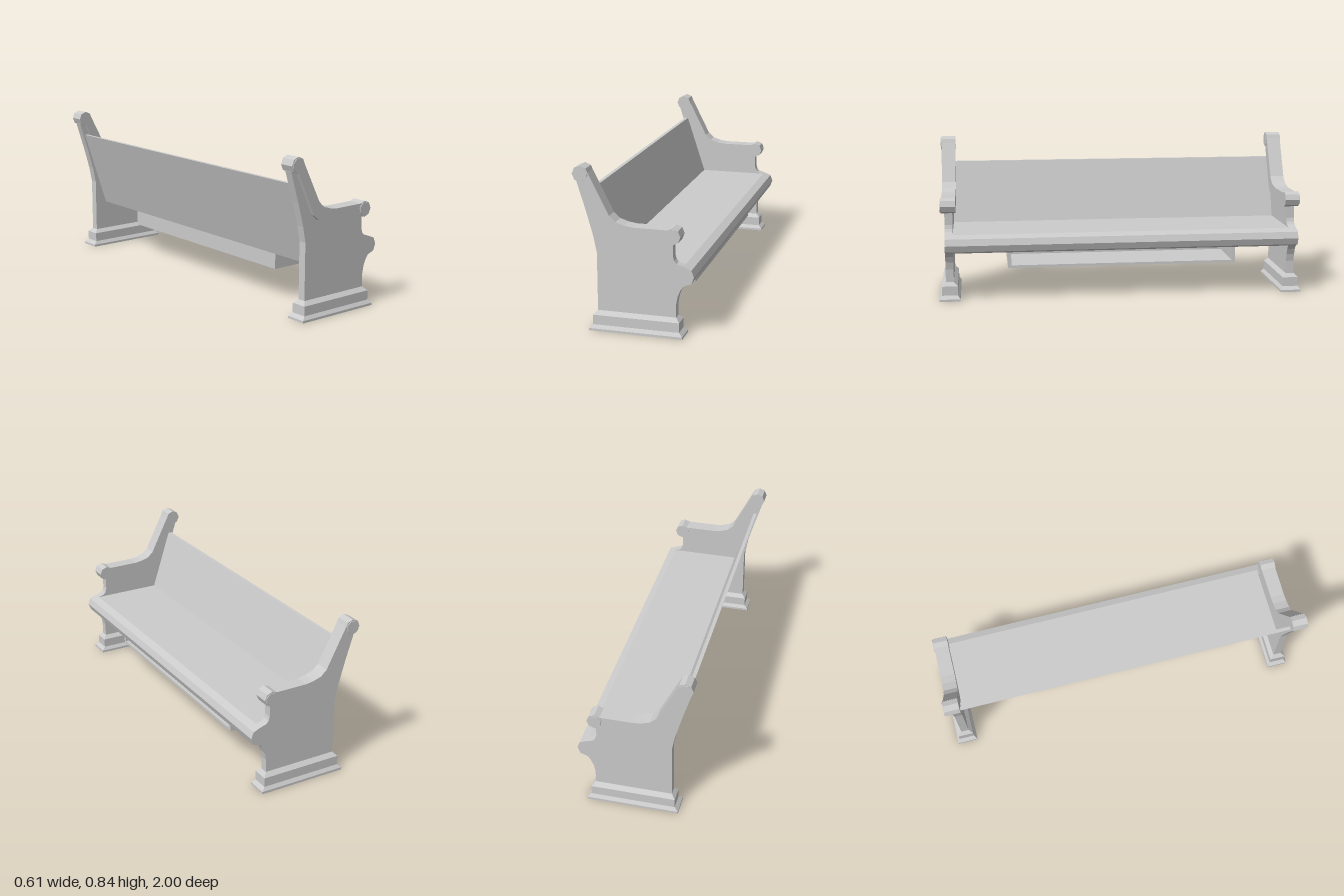
import * as THREE from 'three';

const material = new THREE.MeshStandardMaterial({ color: 0xcccccc, flatShading: true });

function add(parent, name, geometry) {
  const mesh = new THREE.Mesh(geometry, material);
  mesh.name = name;
  parent.add(mesh);
  return mesh;
}

// Extrude an x-y outline between two z values
function slab(points, z0, z1) {
  const shape = new THREE.Shape(points.map(([x, y]) => new THREE.Vector2(x, y)));
  return new THREE.ExtrudeGeometry(shape, { depth: z1 - z0, bevelEnabled: false }).translate(0, 0, z0);
}

// Box given by its limits
function block(x0, x1, y0, y1, z0, z1) {
  return new THREE.BoxGeometry(x1 - x0, y1 - y0, z1 - z0)
    .translate((x0 + x1) / 2, (y0 + y1) / 2, (z0 + z1) / 2);
}

// Box whose top is drawn in: [half width, half depth] below and above
function tapered(bottom, top, y0, y1, cx, cz) {
  const g = new THREE.BoxGeometry(2, 1, 2);
  const p = g.attributes.position;
  for (let i = 0; i < p.count; i++) {
    const up = p.getY(i) > 0;
    const [w, d] = up ? top : bottom;
    p.setXYZ(i, cx + p.getX(i) * w, up ? y1 : y0, cz + p.getZ(i) * d);
  }
  g.computeVertexNormals();
  return g;
}

// Octagonal disc facing z
function octagon(x, y, r, z0, z1, turn) {
  return new THREE.CylinderGeometry(r, r, z1 - z0, 8)
    .rotateY(turn).rotateX(Math.PI / 2).translate(x, y, (z0 + z1) / 2);
}

// Rounded front edge of the seat, shared with the end panels
const nose = [[0.25, 0.265], [0.29, 0.28], [0.303, 0.315], [0.29, 0.35], [0.25, 0.366]];

const panelOutline = [
  [-0.193, 0.1], [0.213, 0.1], [0.213, 0.17], [0.221, 0.21], [0.235, 0.243],
  ...nose,
  [0.215, 0.377], [0.204, 0.392], [0.198, 0.412], [0.198, 0.52], [0, 0.52],
  [-0.08, 0.53], [-0.14, 0.57], [-0.25, 0.79], [-0.295, 0.77],
  [-0.245, 0.61], [-0.21, 0.485], [-0.193, 0.4],
];

const armOutline = [
  [0.198, 0.49], [0.198, 0.55], [0, 0.55], [-0.043, 0.556], [-0.088, 0.57],
  [-0.12, 0.6], [-0.226, 0.808], [-0.28, 0.79], [-0.26, 0.757],
  [-0.155, 0.535], [-0.122, 0.508], [-0.043, 0.49],
];

function makeEnd(side) {
  const end = new THREE.Group();
  end.name = side > 0 ? 'leftEnd' : 'rightEnd';
  const span = (a, b) => (side > 0 ? [a, b] : [-b, -a]);

  add(end, 'endPanel', slab(panelOutline, ...span(0.922, 0.965)));
  add(end, 'armRail', slab(armOutline, ...span(0.906, 0.983)));

  // Scroll knobs at the top and front of the arm rail
  for (const [x, y] of [[-0.265, 0.8], [0.198, 0.519]]) {
    add(end, 'armKnob', octagon(x, y, 0.042, ...span(0.905, 0.984), 0));
    add(end, 'knobCap', octagon(x, y, 0.036, ...span(0.98, 0.988), Math.PI / 8));
  }

  // Stepped plinth
  const cx = 0.0105, cz = side * 0.944;
  const steps = [
    [0, 0.242, 0.056], [0.012, 0.242, 0.056], [0.03, 0.223, 0.043],
    [0.08, 0.223, 0.043], [0.1, 0.2035, 0.0225],
  ];
  for (let i = 0; i < steps.length - 1; i++) {
    const [y0, ...low] = steps[i], [y1, ...high] = steps[i + 1];
    add(end, 'plinth', tapered(low, high, y0, y1, cx, cz));
  }
  return end;
}

export function createModel() {
  const bench = new THREE.Group();
  bench.name = 'bench';
  bench.add(makeEnd(1), makeEnd(-1));

  // Seat and sloping backrest
  const half = 0.922;
  add(bench, 'seat', slab([[-0.105, 0.265], ...nose, [-0.135, 0.366]], -half, half));
  add(bench, 'backrest', slab(
    [[-0.121, 0.267], [-0.102, 0.267], [-0.243, 0.7], [-0.262, 0.7]], -half, half));

  // Open-fronted shelf box under the seat
  const shelf = new THREE.Group();
  shelf.name = 'shelfBox';
  bench.add(shelf);
  add(shelf, 'shelfFloor', block(-0.09, 0.222, 0.172, 0.186, -0.628, 0.628));
  add(shelf, 'shelfBack', block(-0.09, -0.074, 0.186, 0.265, -0.61, 0.61));
  for (const s of [-1, 1]) {
    const z = s * 0.619;
    add(shelf, 'shelfSide', block(-0.09, 0.222, 0.186, 0.265, z - 0.009, z + 0.009));
  }
  return bench;
}
